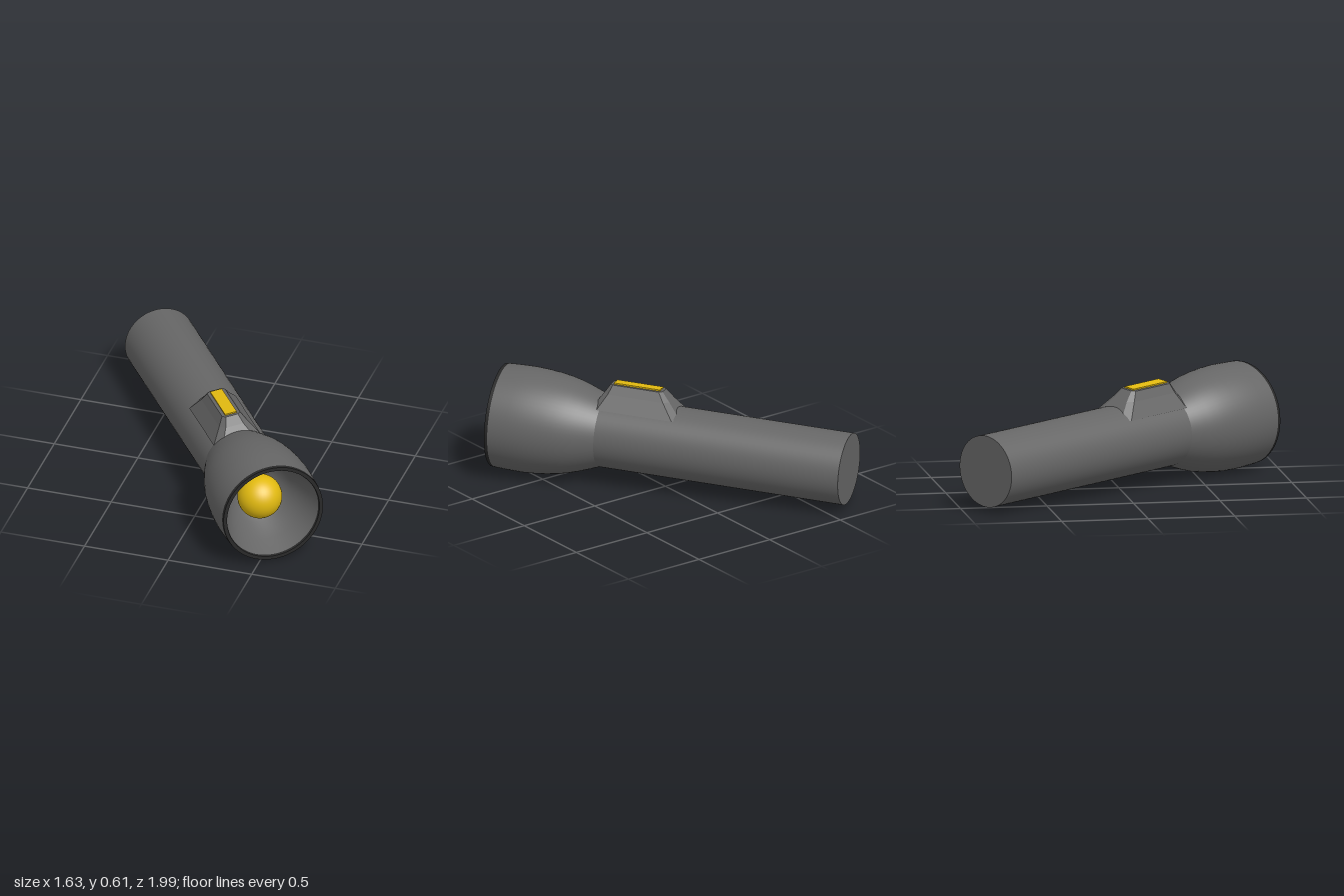
import * as THREE from 'three';

const mat = (name, color, extra = {}) => {
  const m = new THREE.MeshStandardMaterial({ color, ...extra });
  m.name = name;
  return m;
};

// Lathe around the torch axis (local +z); points are [radius, distance from tail]
function turned(name, points, material, closedBySpline = false) {
  let pts = points.map(([r, s]) => new THREE.Vector2(r, s));
  if (closedBySpline) pts = new THREE.SplineCurve(pts).getPoints(10);
  const mesh = new THREE.Mesh(new THREE.LatheGeometry(pts, 64).rotateX(Math.PI / 2), material);
  mesh.name = name;
  return mesh;
}

// Chamfered rectangle ring at height y: half width w, from z0 to z1
function ring(y, w, z0, z1, c) {
  return [
    [w, y, z0 + c], [w, y, z1 - c], [w - c, y, z1], [c - w, y, z1],
    [-w, y, z1 - c], [-w, y, z0 + c], [c - w, y, z0], [w - c, y, z0],
  ];
}

// Faceted loft through rings from bottom to top, with a flat lid
function loft(rings) {
  const pos = [];
  const tri = (a, b, c) => pos.push(...a, ...b, ...c);
  for (let k = 0; k < rings.length - 1; k++) {
    const lo = rings[k], hi = rings[k + 1];
    for (let i = 0; i < 8; i++) {
      const j = (i + 1) % 8;
      tri(lo[i], hi[j], lo[j]);
      tri(lo[i], hi[i], hi[j]);
    }
  }
  const top = rings[rings.length - 1];
  for (let i = 1; i < 7; i++) tri(top[0], top[i + 1], top[i]);
  const g = new THREE.BufferGeometry();
  g.setAttribute('position', new THREE.Float32BufferAttribute(pos, 3));
  g.computeVertexNormals();
  return g;
}

export function createModel() {
  const grey = mat('body grey', 0x666666);
  const dark = mat('rim black', 0x282828);
  const yellow = mat('yellow', 0xe2ba10);

  const torch = new THREE.Group();
  torch.name = 'flashlight';

  // Handle tube and flat tail
  torch.add(turned('handle', [[0.208, 0], [0.207, 1.465]], grey));
  const tail = new THREE.Mesh(new THREE.CircleGeometry(0.208, 64).rotateY(Math.PI), grey);
  tail.name = 'tailCap';
  torch.add(tail);

  // Flared head, dark lip and reflector bowl
  torch.add(turned('head', [[0.207, 1.465], [0.243, 1.56], [0.274, 1.66], [0.294, 1.77],
    [0.304, 1.885], [0.304, 1.98], [0.3, 2.07]], grey, true));
  torch.add(turned('rimOuter', [[0.3, 2.07], [0.298, 2.09]], dark));
  torch.add(turned('rimFace', [[0.298, 2.09], [0.277, 2.09]], dark));
  torch.add(turned('rimInner', [[0.277, 2.09], [0.274, 2.075]], dark));
  torch.add(turned('reflector', [[0.274, 2.075], [0.235, 1.96], [0.185, 1.84],
    [0.12, 1.74], [0, 1.72]], grey));

  // Bulb
  const bulb = new THREE.Mesh(new THREE.SphereGeometry(0.128, 40, 28), yellow);
  bulb.name = 'bulb';
  bulb.position.set(0, -0.02, 1.84);
  torch.add(bulb);

  // Switch housing with its slider, rolled slightly around the handle
  const control = new THREE.Group();
  control.name = 'switch';
  const housing = new THREE.Mesh(loft([
    ring(0.16, 0.14, 0.99, 1.52, 0.04),
    ring(0.245, 0.083, 1.075, 1.465, 0.03),
    ring(0.296, 0.054, 1.125, 1.435, 0.018),
  ]), grey);
  housing.name = 'switchHousing';
  const slider = new THREE.Mesh(new THREE.BoxGeometry(0.07, 0.009, 0.275), yellow);
  slider.name = 'slider';
  slider.position.set(0, 0.2995, 1.28);
  control.add(housing, slider);
  control.rotation.z = THREE.MathUtils.degToRad(6);
  torch.add(control);

  // Lay the torch diagonally, resting on head and tail
  torch.rotation.order = 'YXZ';
  torch.rotation.set(-0.035, Math.atan2(1.22, 1.695), 0);
  torch.position.set(-0.65, 0.24, -0.88);

  const model = new THREE.Group();
  model.name = 'model';
  model.add(torch);
  return model;
}
